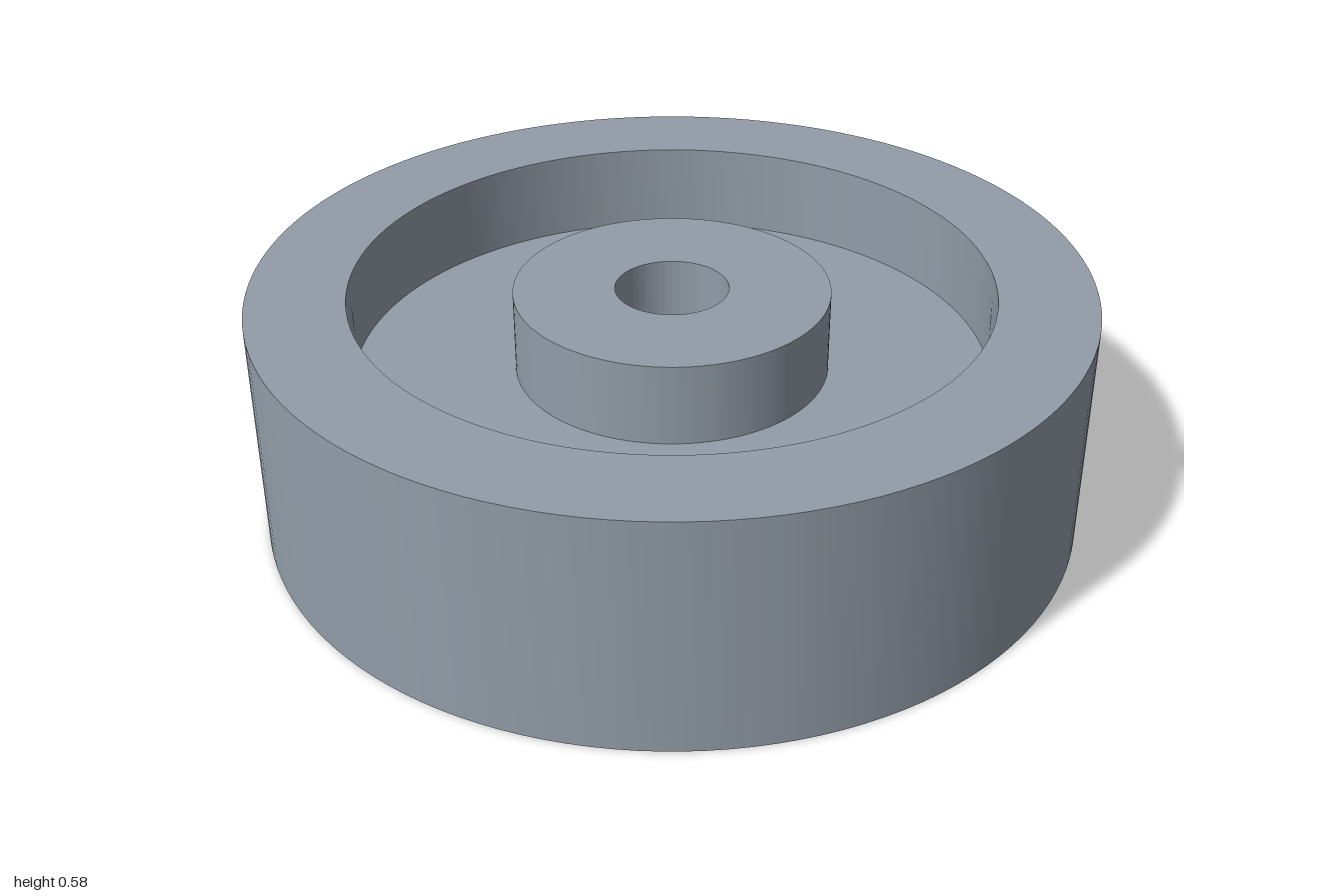
import * as THREE from 'three';
import { toCreasedNormals } from 'three/addons/utils/BufferGeometryUtils.js';

const H = 0.577; // overall height
const OUTER = 1, RIM_IN = 0.765, HUB = 0.378, BORE = 0.136;
const WEB_LOW = 0.22, WEB_HIGH = H - WEB_LOW;
const HUB_LOW = 0.02, HUB_HIGH = H - HUB_LOW;

export function createModel() {
  const group = new THREE.Group();
  group.name = 'wheel';
  const steel = new THREE.MeshStandardMaterial({ color: 0x929ca8 });
  steel.name = 'blue grey';

  // Revolve a [radius, height] profile, keeping its corners sharp
  const revolve = (name, profile) => {
    const points = profile.map(([r, y]) => new THREE.Vector2(r, y));
    const geometry = toCreasedNormals(new THREE.LatheGeometry(points, 128), 0.6);
    const mesh = new THREE.Mesh(geometry, steel);
    mesh.name = name;
    group.add(mesh);
  };

  // Thick outer rim
  revolve('rim', [
    [RIM_IN, WEB_LOW], [RIM_IN, 0], [OUTER, 0],
    [OUTER, H], [RIM_IN, H], [RIM_IN, WEB_HIGH],
  ]);

  // Recessed disc joining rim and hub, on both sides
  revolve('webTop', [[RIM_IN, WEB_HIGH], [HUB, WEB_HIGH]]);
  revolve('webBottom', [[HUB, WEB_LOW], [RIM_IN, WEB_LOW]]);

  // Central hub with its through bore
  revolve('hub', [
    [HUB, WEB_HIGH], [HUB, HUB_HIGH], [BORE, HUB_HIGH],
    [BORE, HUB_LOW], [HUB, HUB_LOW], [HUB, WEB_LOW],
  ]);

  return group;
}
